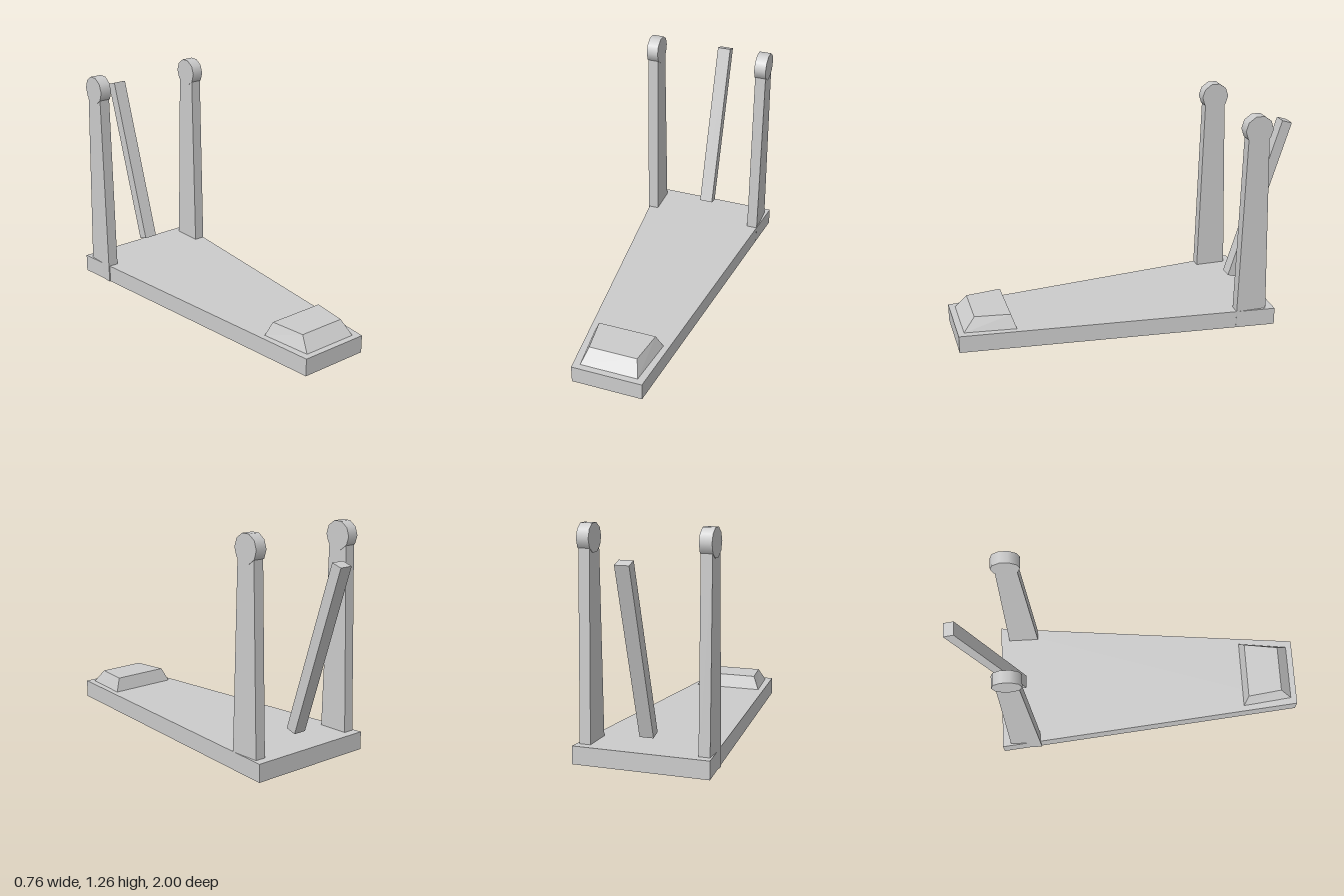
import * as THREE from 'three';

const material = new THREE.MeshStandardMaterial({ color: 0xcccccc });

function addMesh(group, name, geometry, x = 0, y = 0, z = 0) {
  const mesh = new THREE.Mesh(geometry, material);
  mesh.name = name;
  mesh.position.set(x, y, z);
  group.add(mesh);
  return mesh;
}

// Six-sided tapered block. Each end is { y, back: [z, halfWidth], front: [z, halfWidth] }.
function taperedBlock(bottom, top) {
  const geometry = new THREE.BoxGeometry(2, 2, 2).toNonIndexed();
  const p = geometry.attributes.position;
  for (let i = 0; i < p.count; i++) {
    const end = p.getY(i) > 0 ? top : bottom;
    const [z, halfWidth] = p.getZ(i) > 0 ? end.front : end.back;
    p.setXYZ(i, Math.sign(p.getX(i)) * halfWidth, end.y, z);
  }
  geometry.computeVertexNormals();
  return geometry;
}

export function createModel() {
  const model = new THREE.Group();
  model.name = 'stand';

  // Flat base, narrowing toward the front
  const plan = { back: [-0.795, 0.381], front: [1, 0.201] };
  addMesh(model, 'base', taperedBlock({ y: 0, ...plan }, { y: 0.1, ...plan }));

  // Sloped block at the front end
  addMesh(model, 'frontBlock', taperedBlock(
    { y: 0.1, back: [0.675, 0.2], front: [0.965, 0.164] },
    { y: 0.177, back: [0.7, 0.165], front: [0.9, 0.137] }
  ));

  // Pair of tapered posts, each with a round cap
  const post = taperedBlock(
    { y: 0, back: [-0.749, 0.031], front: [-0.567, 0.031] },
    { y: 1.135, back: [-0.717, 0.031], front: [-0.597, 0.031] }
  );
  const cap = new THREE.CylinderGeometry(0.08, 0.08, 0.068, 10);
  cap.rotateZ(Math.PI / 2);
  for (const [side, x] of [['left', 0.328], ['right', -0.334]]) {
    addMesh(model, side + 'Post', post, x);
    addMesh(model, side + 'PostCap', cap, x, 1.181, -0.657);
  }

  // Rod leaning backward between the posts
  const rod = addMesh(model, 'leaningRod', new THREE.BoxGeometry(0.078, 0.983, 0.062), -0.001, 0.634, -0.819);
  rod.rotation.x = -0.308;

  return model;
}
